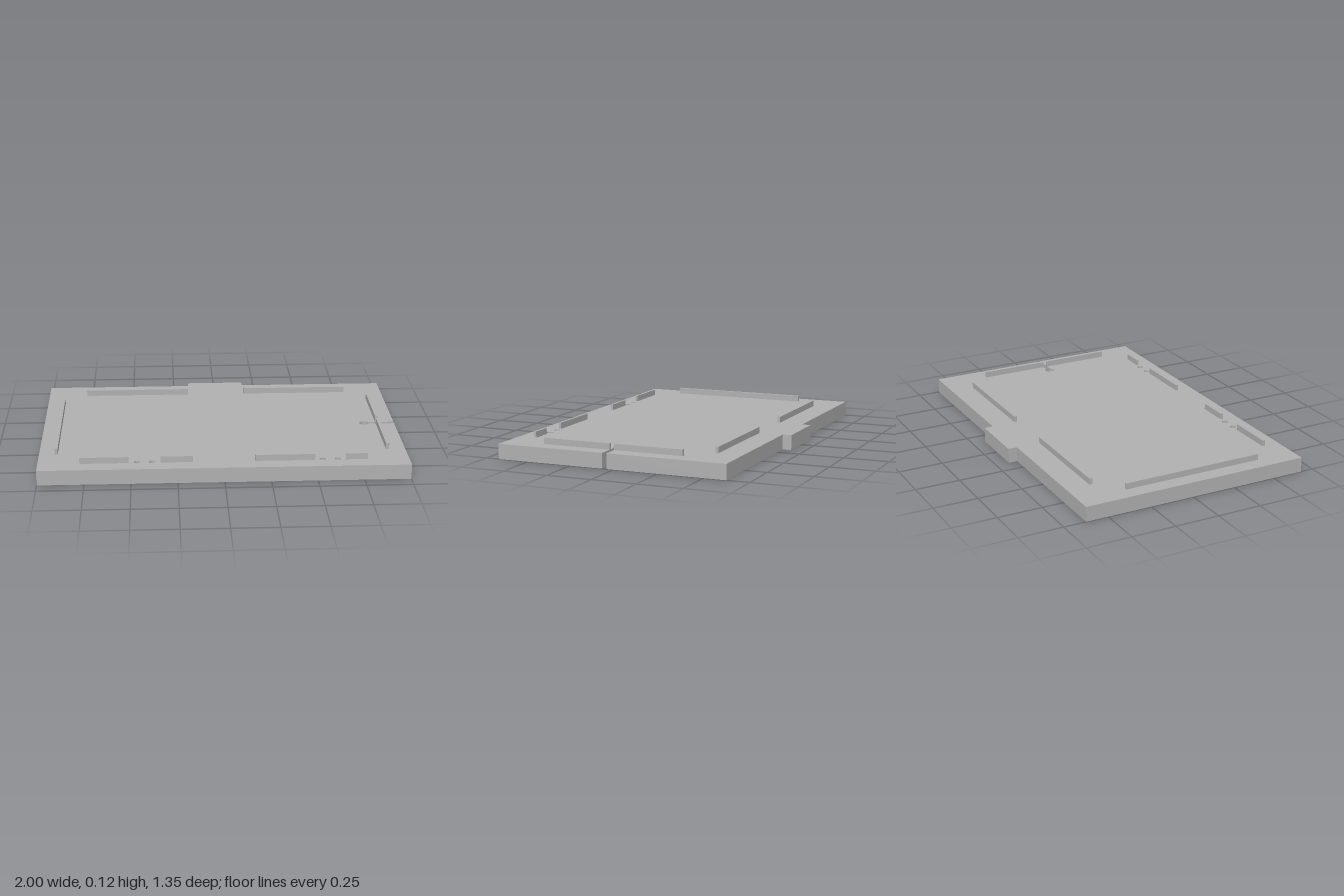
import * as THREE from 'three';

const PLATE_H = 0.083;
const RAIL_H = 0.034;
const SLOT = { x: 0.83, z: 0.05, half: 0.0125, r: 0.027 };

export function createModel() {
  const model = new THREE.Group();
  model.name = 'basePlate';
  const grey = new THREE.MeshStandardMaterial({ color: 0xb0b0b0 });
  grey.name = 'plain grey';

  // Plate outline with rear tab and keyhole slot, drawn in x and -z
  const outline = new THREE.Shape();
  const a = Math.asin(SLOT.half / SLOT.r);
  outline.moveTo(-1, -0.675);
  outline.lineTo(1, -0.675);
  outline.lineTo(1, -SLOT.z - SLOT.half);
  outline.absarc(SLOT.x, -SLOT.z, SLOT.r, -a, a, true);
  outline.lineTo(1, -SLOT.z + SLOT.half);
  outline.lineTo(1, 0.625);
  outline.lineTo(0.165, 0.625);
  outline.lineTo(0.165, 0.675);
  outline.lineTo(-0.165, 0.675);
  outline.lineTo(-0.165, 0.625);
  outline.lineTo(-1, 0.625);
  outline.closePath();

  // Pairs of round through-holes near the front edge
  for (const x of [-0.468, -0.386, 0.532, 0.614]) {
    const hole = new THREE.Path();
    hole.absarc(x, -0.575, 0.017, 0, Math.PI * 2, true);
    outline.holes.push(hole);
  }

  const plateGeometry = new THREE.ExtrudeGeometry(outline, {
    depth: PLATE_H, bevelEnabled: false, curveSegments: 24,
  });
  plateGeometry.rotateX(-Math.PI / 2);
  const plate = new THREE.Mesh(plateGeometry, grey);
  plate.name = 'plate';
  model.add(plate);

  // Raised rail spanning a rectangle on the top face
  function addRail(name, x0, x1, z0, z1) {
    const rail = new THREE.Mesh(new THREE.BoxGeometry(x1 - x0, RAIL_H, z1 - z0), grey);
    rail.position.set((x0 + x1) / 2, PLATE_H + RAIL_H / 2, (z0 + z1) / 2);
    rail.name = name;
    model.add(rail);
  }

  for (const [x0, x1] of [[-0.775, -0.167], [0.167, 0.775]]) {
    addRail('backRail', x0, x1, -0.491, -0.474);
  }
  for (const [x0, x1] of [[-0.775, -0.513], [-0.342, -0.167], [0.167, 0.49], [0.657, 0.775]]) {
    addRail('frontRail', x0, x1, 0.572, 0.587);
  }
  addRail('rightRail', -0.915, -0.898, -0.35, 0.45);

  // Left rail is interrupted by the slot
  addRail('leftRailBack', 0.894, 0.911, -0.35, SLOT.z - SLOT.half);
  addRail('leftRailFront', 0.894, 0.911, SLOT.z + SLOT.half, 0.45);

  return model;
}
